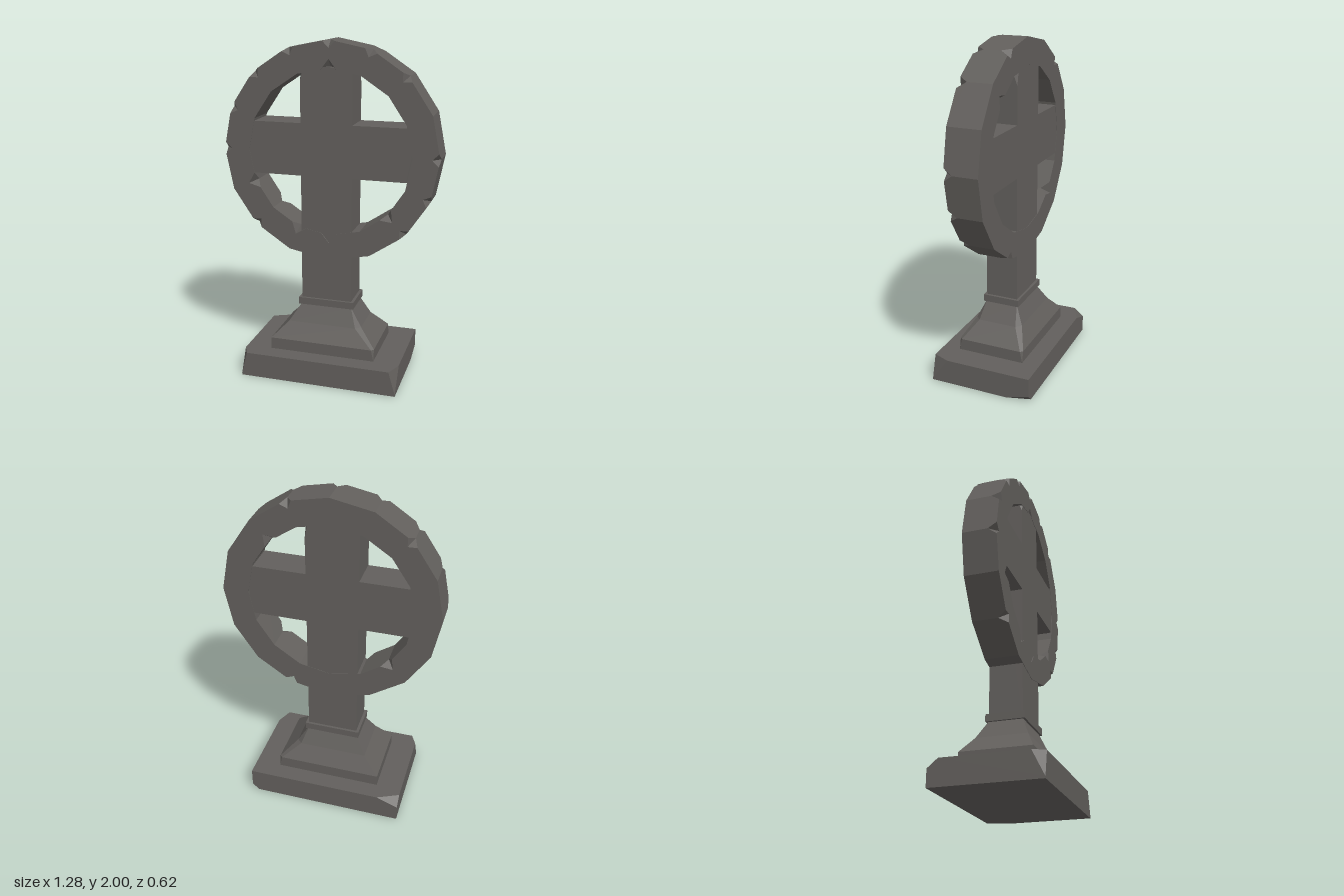
import * as THREE from 'three';
import { ConvexGeometry } from 'three/addons/geometries/ConvexGeometry.js';

const V = (x, y, z) => new THREE.Vector3(x, y, z);

export function createModel() {
  const model = new THREE.Group();
  const stone = new THREE.MeshStandardMaterial({ color: 0x625f5c });
  stone.name = 'dark stone';
  stone.flatShading = true;

  const add = (name, points, parent = model) => {
    const mesh = new THREE.Mesh(new ConvexGeometry(points), stone);
    mesh.name = name;
    parent.add(mesh);
    return mesh;
  };

  // Box between two corners; chips cut single corners: key 'xyz' signs -> cut length per axis
  const chippedBox = (name, lo, hi, chips = {}) => {
    const points = [];
    for (const sx of [0, 1]) for (const sy of [0, 1]) for (const sz of [0, 1]) {
      const s = [sx, sy, sz];
      const corner = s.map((v, i) => (v ? hi[i] : lo[i]));
      const cut = chips[s.map((v) => (v ? '+' : '-')).join('')];
      if (!cut) { points.push(V(...corner)); continue; }
      cut.forEach((d, i) => {
        const p = [...corner];
        p[i] += s[i] ? -d : d;
        points.push(V(...p));
      });
    }
    return add(name, points);
  };

  // Base slab with worn corners
  chippedBox('baseSlab', [-0.49, 0, -0.31], [0.46, 0.15, 0.31], {
    '-++': [0.035, 0.14, 0.07],
    '+++': [0.04, 0.14, 0.1],
    '-+-': [0.13, 0.05, 0.06],
    '+--': [0.04, 0.04, 0.14],
  });

  // Stepped, flared pedestal: [y, half width, half depth, corner wear on the left side]
  const cx = -0.015;
  const levels = [
    [0.15, 0.32, 0.205, 0], [0.22, 0.32, 0.205, 0.015],
    [0.32, 0.222, 0.148, 0.03], [0.43, 0.153, 0.098, 0],
  ];
  const section = ([y, w, d, c]) => [
    V(cx - w, y, -d), V(cx - w, y, d),
    V(cx + w - c, y, d), V(cx + w, y, d - c),
    V(cx + w, y, c - d), V(cx + w - c, y, -d),
  ];
  const pedestal = new THREE.Group();
  pedestal.name = 'pedestal';
  model.add(pedestal);
  for (let i = 0; i < levels.length - 1; i++) {
    add('pedestalTier', [...section(levels[i]), ...section(levels[i + 1])], pedestal);
  }

  // Collar, post and cross arm
  chippedBox('collar', [-0.185, 0.425, -0.113], [0.155, 0.467, 0.113]);
  chippedBox('post', [-0.168, 0.42, -0.098], [0.138, 1.85, 0.098], {
    '-++': [0.02, 0.08, 0.03], '++-': [0.02, 0.1, 0.04],
  });
  chippedBox('crossArm', [-0.49, 1.222, -0.098], [0.48, 1.53, 0.098], {
    '-++': [0.03, 0.08, 0.05], '+-+': [0.03, 0.15, 0.05], '-+-': [0.03, 0.06, 0.06],
  });

  // Sixteen-sided ring of wedge blocks, with chips on chosen corners
  const N = 16, R = 0.64, r = 0.485, H = 0.1;
  const chipped = {
    outerFront: [0, 2, 3, 4, 5, 6, 7, 8, 10, 14, 15],
    outerBack: [3, 6, 13],
    innerFront: [4, 9, 11, 12, 14],
    innerBack: [2, 10],
  };
  const at = (radius, k, z) => {
    const a = (k * Math.PI * 2) / N;
    return V(radius * Math.cos(a), 1.36 + radius * Math.sin(a), z);
  };
  const ring = new THREE.Group();
  ring.name = 'ring';
  model.add(ring);
  for (let i = 0; i < N; i++) {
    const points = [];
    for (const [k, other] of [[i, i + 1], [i + 1, i]]) {
      for (const outer of [true, false]) for (const front of [true, false]) {
        const rad = outer ? R : r, z = front ? H : -H;
        const corner = at(rad, k, z);
        const key = (outer ? 'outer' : 'inner') + (front ? 'Front' : 'Back');
        if (!chipped[key].includes(k % N)) { points.push(corner); continue; }
        points.push(
          corner.clone().lerp(at(rad, other, z), outer ? 0.15 : 0.25),
          at(rad + (outer ? -0.045 : 0.05), k, z),
          at(rad, k, z + (front ? -0.05 : 0.05)),
        );
      }
    }
    add('ringBlock', points, ring);
  }

  return model;
}
